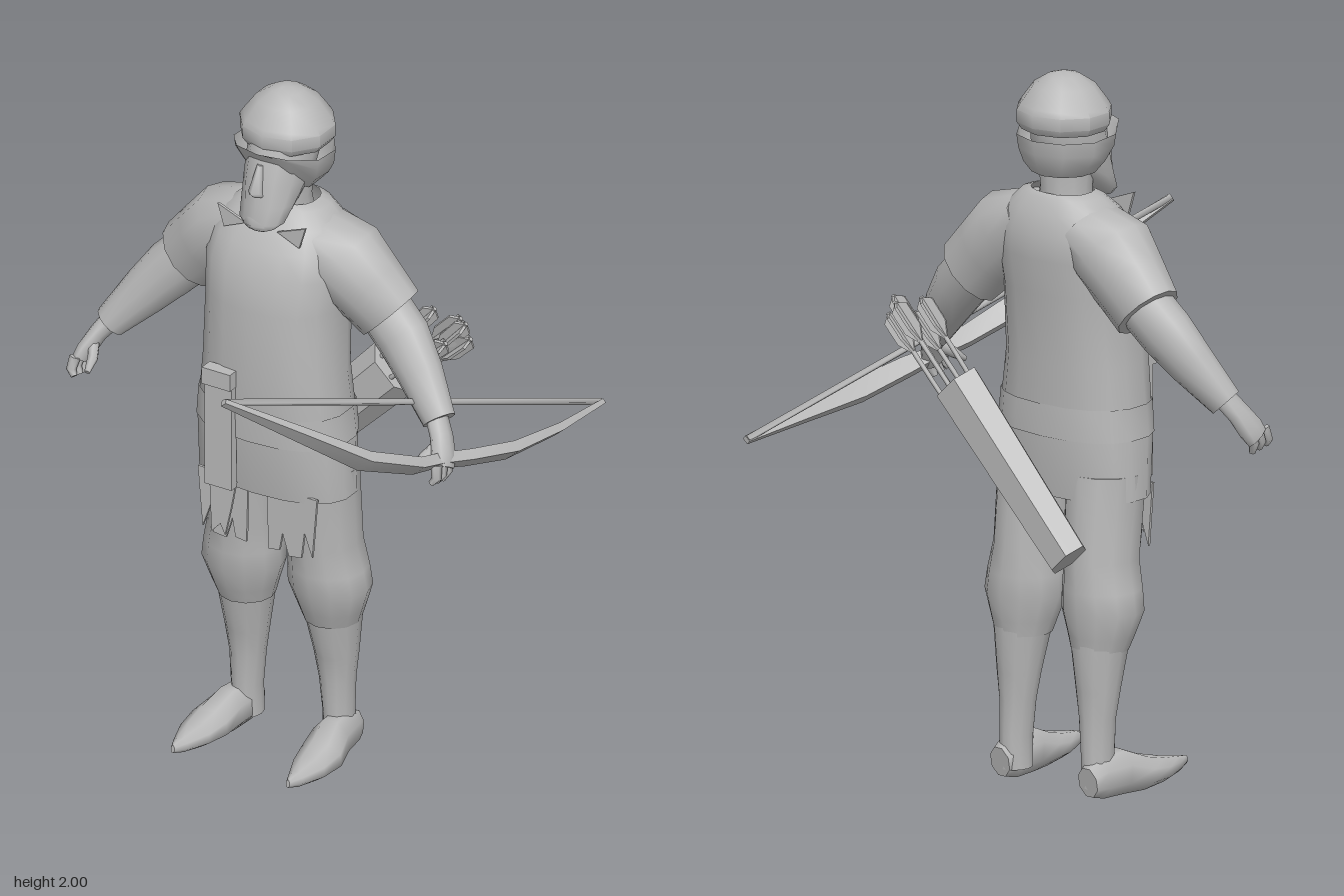
import * as THREE from 'three';
import { toCreasedNormals } from 'three/addons/utils/BufferGeometryUtils.js';

const grey = new THREE.MeshStandardMaterial({ color: 0xb8b8b8, side: THREE.DoubleSide });
grey.name = 'plain grey';
const V3 = (x, y, z) => new THREE.Vector3(x, y, z);

// Skin over elliptical sections [x, y, z, halfWidth, halfDepth].
// 'level' keeps sections horizontal; otherwise they stand across the path,
// with halfDepth measured along 'ref'.
function loft(secs, { segs = 12, level = false, ref = V3(0, 0, 1), caps = true, power = 1, phase = 0 } = {}) {
  const pos = [], idx = [], n = secs.length;
  const centre = i => V3(...secs[i].slice(0, 3));
  const bend = t => Math.sign(t) * Math.pow(Math.abs(t), power);
  secs.forEach((s, i) => {
    const t = level ? V3(0, 1, 0)
      : centre(Math.min(i + 1, n - 1)).sub(centre(Math.max(i - 1, 0))).normalize();
    const v = ref.clone().addScaledVector(t, -ref.dot(t)).normalize();
    const u = t.clone().cross(v);
    for (let j = 0; j < segs; j++) {
      const a = (j / segs) * Math.PI * 2 + phase;
      const p = centre(i).addScaledVector(u, s[3] * bend(Math.sin(a))).addScaledVector(v, s[4] * bend(Math.cos(a)));
      pos.push(p.x, p.y, p.z);
    }
  });
  for (let i = 0; i < n - 1; i++) for (let j = 0; j < segs; j++) {
    const a = i * segs + j, b = i * segs + (j + 1) % segs;
    idx.push(a, b, a + segs, b, b + segs, a + segs);
  }
  if (caps) for (const i of [0, n - 1]) {
    const start = pos.length / 3;
    pos.push(...pos.slice(i * segs * 3, (i + 1) * segs * 3), ...centre(i).toArray());
    for (let j = 0; j < segs; j++) {
      const a = start + j, b = start + (j + 1) % segs, c = start + segs;
      i ? idx.push(a, b, c) : idx.push(b, a, c);
    }
  }
  const g = new THREE.BufferGeometry();
  g.setAttribute('position', new THREE.Float32BufferAttribute(pos, 3));
  g.setIndex(idx);
  g.computeVertexNormals();
  return g;
}

// Flat cut-out cloth from corner points
function cloth(points, z) {
  const shape = new THREE.Shape(points.map(p => new THREE.Vector2(...p)));
  return new THREE.ExtrudeGeometry(shape, { depth: 0.008, bevelEnabled: false }).translate(0, 0, z);
}

function part(parent, name, geometry) {
  const m = new THREE.Mesh(geometry, grey);
  m.name = name;
  parent.add(m);
  return m;
}

function buildHead(body) {
  const lv = { level: true };
  part(body, 'neck', loft([[0, 1.58, -0.09, 0.085, 0.08], [0, 1.68, -0.08, 0.07, 0.075], [0, 1.8, -0.08, 0.08, 0.09]], lv));
  part(body, 'face', loft([
    [0, 1.635, 0.05, 0.045, 0.03], [0, 1.655, 0.035, 0.068, 0.052], [0, 1.7, 0.0, 0.078, 0.075],
    [0, 1.76, -0.045, 0.088, 0.113], [0, 1.82, -0.07, 0.093, 0.12], [0, 1.88, -0.08, 0.09, 0.11]], lv));
  part(body, 'nose', loft([[0, 1.735, 0.062, 0.022, 0.02], [0, 1.75, 0.068, 0.02, 0.029], [0, 1.82, 0.045, 0.01, 0.01]], { level: true, segs: 6 }));
  part(body, 'beardTip', loft([[0, 1.63, 0.06, 0.03, 0.015], [0, 1.65, 0.06, 0.045, 0.032], [0, 1.68, 0.05, 0.05, 0.028]], { level: true, segs: 8 }));
  // Open hair band, rising toward the brow
  const hair = loft([[0, 1.725, -0.09, 0.09, 0.09], [0, 1.755, -0.085, 0.118, 0.115],
    [0, 1.79, -0.075, 0.138, 0.135], [0, 1.83, -0.075, 0.142, 0.142]], { level: true, segs: 10, caps: false });
  const p = hair.attributes.position;
  for (let i = 0; i < p.count; i++) {
    const rise = Math.max(0, p.getZ(i) + 0.06);
    p.setY(i, p.getY(i) + rise * (p.getY(i) < 1.8 ? 0.55 : 0.24));
  }
  hair.computeVertexNormals();
  part(body, 'hairBand', hair);
  part(body, 'cap', toCreasedNormals(loft([
    [0, 1.845, -0.09, 0.12, 0.115], [0, 1.865, -0.09, 0.134, 0.128], [0, 1.9, -0.09, 0.135, 0.128],
    [0, 1.915, -0.09, 0.125, 0.12], [0, 1.965, -0.09, 0.088, 0.085], [0, 1.992, -0.09, 0.045, 0.045],
    [0, 2, -0.09, 0.015, 0.015]], { level: true, segs: 10 }), 0.75));
}

function buildLimbs(body, s, side) {
  const tube = (name, secs, o) => part(body, side + name, loft(secs.map(([x, ...r]) => [s * x, ...r]), o));
  // Arm
  tube('Sleeve', [[0.1, 1.58, -0.09, 0.08, 0.11], [0.18, 1.525, -0.092, 0.12, 0.12],
    [0.25, 1.455, -0.1, 0.112, 0.1], [0.318, 1.387, -0.108, 0.104, 0.085]]);
  tube('Forearm', [[0.28, 1.42, -0.105, 0.08, 0.07], [0.37, 1.335, -0.09, 0.08, 0.07],
    [0.44, 1.255, -0.065, 0.068, 0.06], [0.525, 1.155, -0.025, 0.047, 0.047]]);
  tube('Palm', [[0.515, 1.17, -0.025, 0.03, 0.032], [0.548, 1.125, 0.0, 0.026, 0.038],
    [0.57, 1.08, 0.025, 0.026, 0.045], [0.578, 1.055, 0.04, 0.022, 0.042]], { segs: 8 });
  for (let f = 0; f < 3; f++) {
    const z = 0.015 + f * 0.028;
    tube('Finger' + (f + 1), [[0.577, 1.075, z, 0.016, 0.016], [0.583, 1.04, z + 0.01, 0.014, 0.014],
      [0.57, 1.012 + f * 0.006, z + 0.016, 0.009, 0.009]], { segs: 6 });
  }
  tube('Thumb', [[0.55, 1.11, 0.015, 0.016, 0.016], [0.528, 1.08, 0.06, 0.015, 0.015], [0.522, 1.055, 0.098, 0.008, 0.008]], { segs: 6, ref: V3(0, 1, 0) });
  // Leg with baggy trousers gathered below the knee
  tube('Trouser', [[0.137, 0.41, -0.1, 0.08, 0.08], [0.138, 0.45, -0.095, 0.094, 0.09],
    [0.138, 0.52, -0.088, 0.118, 0.108], [0.134, 0.58, -0.085, 0.112, 0.11],
    [0.127, 0.66, -0.08, 0.1, 0.11], [0.12, 0.9, -0.055, 0.112, 0.112]], { level: true });
  tube('Boot', [[0.147, 0.03, -0.12, 0.045, 0.05], [0.146, 0.12, -0.118, 0.042, 0.052],
    [0.143, 0.22, -0.116, 0.05, 0.053], [0.142, 0.3, -0.112, 0.062, 0.062],
    [0.138, 0.44, -0.1, 0.083, 0.083]], { level: true });
  tube('Foot', [[0.158, 0.05, -0.172, 0.035, 0.045], [0.158, 0.058, -0.13, 0.05, 0.063],
    [0.165, 0.06, -0.05, 0.056, 0.065], [0.178, 0.045, 0.02, 0.063, 0.049],
    [0.182, 0.04, 0.09, 0.052, 0.036], [0.184, 0.04, 0.16, 0.024, 0.023],
    [0.184, 0.043, 0.2, 0.006, 0.012]], { segs: 8, phase: Math.PI / 8, ref: V3(0, 1, 0) });
  // Collar flap
  part(body, side + 'CollarFlap', cloth([[s * 0.05, 1.625], [s * 0.14, 1.66], [s * 0.12, 1.595]], 0.035));
}

function buildTunic(body) {
  part(body, 'tunic', loft([
    [0, 0.83, -0.045, 0.235, 0.13], [0, 1.0, -0.04, 0.23, 0.15], [0, 1.2, -0.035, 0.207, 0.15],
    [0, 1.4, -0.045, 0.2, 0.162], [0, 1.5, -0.06, 0.21, 0.16], [0, 1.57, -0.075, 0.2, 0.145],
    [0, 1.625, -0.085, 0.17, 0.115], [0, 1.665, -0.095, 0.125, 0.085], [0, 1.675, -0.095, 0.09, 0.07]],
  { level: true, segs: 18, caps: false, power: 0.85 }));
  part(body, 'belt', loft([[0, 1.0, -0.04, 0.233, 0.153], [0, 1.09, -0.038, 0.224, 0.153]],
    { level: true, segs: 18, caps: false, power: 0.85 }));
  // Hanging sash with its torn tail
  part(body, 'sash', new THREE.BoxGeometry(0.085, 0.36, 0.025).translate(-0.083, 1.025, 0.118));
  part(body, 'sashKnot', new THREE.BoxGeometry(0.09, 0.05, 0.04).translate(-0.083, 1.18, 0.122));
  part(body, 'sashTail', cloth([[-0.125, 0.86], [-0.04, 0.86], [-0.055, 0.78], [-0.075, 0.69], [-0.09, 0.72], [-0.118, 0.69]], 0.1));
  // Ragged cloth over the thighs
  const rag = [[0, 0.85], [0.16, 0.85], [0.155, 0.66], [0.12, 0.665], [0.11, 0.72], [0.09, 0.655], [0.05, 0.66], [0.04, 0.74], [0.015, 0.67]];
  part(body, 'rightRag', cloth(rag.map(([x, y]) => [x - 0.19, y]), 0.055));
  part(body, 'leftRag', cloth(rag.map(([x, y]) => [0.19 - x, y]), 0.055));
}

function buildQuiver(root) {
  const quiver = new THREE.Group();
  quiver.name = 'quiver';
  quiver.position.set(-0.21, 0.7, -0.27);
  quiver.rotation.z = -0.765;
  root.add(quiver);
  part(quiver, 'quiverCase', toCreasedNormals(loft([[0, 0, 0, 0.07, 0.048], [0, 0.58, 0, 0.085, 0.056]],
    { level: true, segs: 6, phase: Math.PI / 6 }), 0.5));
  // Arrows with crossed feathers
  [[-0.04, 0.015, 0.05], [0.0, -0.03, -0.02], [0.04, 0.015, 0.03], [0.01, 0.03, -0.08], [0.05, -0.02, -0.05]].forEach(([x, z, lean], i) => {
    const arrow = new THREE.Group();
    arrow.name = 'arrow' + (i + 1);
    arrow.position.set(x, 0.5, z);
    arrow.rotation.set(-lean * 0.8, 0, lean);
    const length = 0.33 + (i % 3) * 0.03;
    part(arrow, 'shaft', new THREE.CylinderGeometry(0.007, 0.007, length, 5).translate(0, length / 2, 0));
    for (const turn of [0.4, 0.4 + Math.PI / 2])
      part(arrow, 'feather', cloth([[-0.006, -0.13], [0.006, -0.13], [0.026, -0.09], [0.026, -0.02], [0, 0], [-0.026, -0.02], [-0.026, -0.09]], -0.004)
        .translate(0, length, 0)).rotation.y = turn;
    quiver.add(arrow);
  });
}

function buildBow(root) {
  const bow = new THREE.Group();
  bow.name = 'bow';
  root.add(bow);
  const square = { segs: 4, phase: Math.PI / 4, ref: V3(0.75, 0.66, 0) };
  part(bow, 'bowLimbs', toCreasedNormals(loft([
    [0.228, 1.44, 0.648, 0.01, 0.014], [0.36, 1.3, 0.47, 0.016, 0.032], [0.465, 1.175, 0.31, 0.022, 0.045],
    [0.525, 1.1, 0.14, 0.022, 0.036], [0.535, 1.075, 0.04, 0.022, 0.024], [0.565, 1.05, -0.05, 0.022, 0.036],
    [0.6, 1.01, -0.21, 0.022, 0.042], [0.617, 0.983, -0.42, 0.016, 0.028], [0.617, 0.962, -0.648, 0.01, 0.014]], square), 0.35));
  part(bow, 'bowString', loft([[0.228, 1.44, 0.645, 0.01, 0.01], [0.615, 0.965, -0.645, 0.01, 0.01]], square));
}

export function createModel() {
  const root = new THREE.Group();
  root.name = 'archer';
  const body = new THREE.Group();
  body.name = 'body';
  body.position.x = -0.034;
  root.add(body);
  buildTunic(body);
  buildHead(body);
  buildLimbs(body, 1, 'left');
  buildLimbs(body, -1, 'right');
  buildQuiver(root);
  buildBow(root);
  return root;
}
